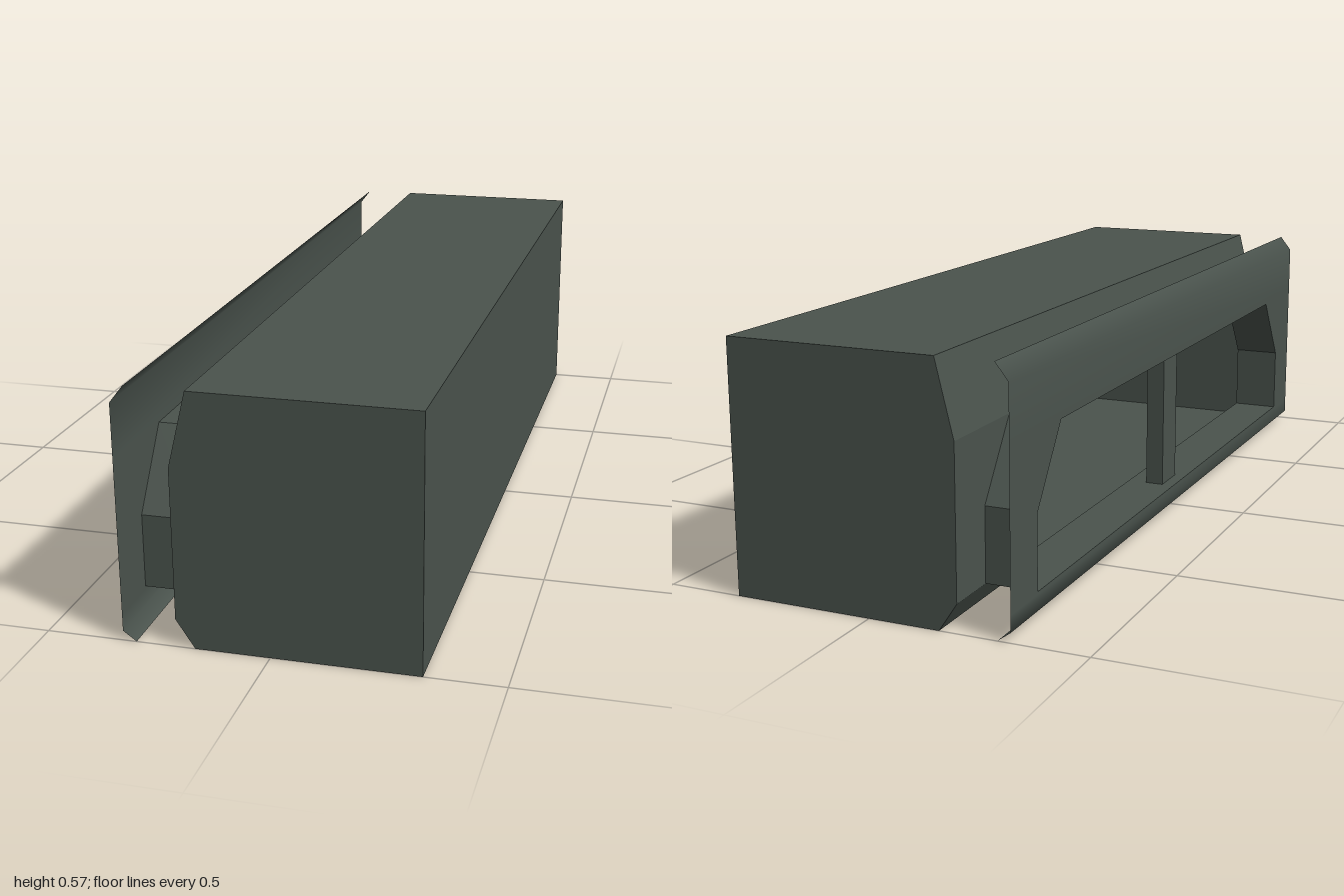
import * as THREE from 'three';

const olive = new THREE.MeshStandardMaterial({ color: 0x4a534d, side: THREE.DoubleSide });
olive.name = 'olive grey';

const BODY_X = -0.207, PANEL_X = -0.327;   // inner face and outer panel planes
const LOW = 0.064, MID = 0.234, HIGH = 0.404;

// Opening outline in (z, y): a box with its top corners cut off
const opening = [[-0.87, LOW], [0.87, LOW], [0.87, MID], [0.75, HIGH], [-0.75, HIGH], [-0.87, MID]];

// Sweep an open profile (counter-clockwise = outward) along z from -half to half
function sweep(profile, half, smooth = false) {
  const pos = [], index = [];
  profile.forEach(([x, y], i) => {
    pos.push(x, y, -half, x, y, half);
    if (i) {
      const p = 2 * (i - 1), q = 2 * i;
      index.push(p, q, q + 1, p, q + 1, p + 1);
    }
  });
  let geo = new THREE.BufferGeometry();
  geo.setAttribute('position', new THREE.Float32BufferAttribute(pos, 3));
  geo.setIndex(index);
  if (!smooth) geo = geo.toNonIndexed();
  geo.computeVertexNormals();
  return geo;
}

const toShape = (pts) => new THREE.Shape(pts.map(([a, b]) => new THREE.Vector2(a, b)));

// Flat wall facing -x with the opening cut through it
function piercedWall(x, bottom, top) {
  const shape = toShape([[-1, bottom], [1, bottom], [1, top], [-1, top]]);
  shape.holes.push(new THREE.Path(opening.map(([a, b]) => new THREE.Vector2(a, b))));
  return new THREE.ShapeGeometry(shape).rotateY(-Math.PI / 2).translate(x, 0, 0);
}

export function createModel() {
  const model = new THREE.Group();
  model.name = 'hollowCasing';
  const add = (name, geo, parent = model) => {
    const mesh = new THREE.Mesh(geo, olive);
    mesh.name = name;
    parent.add(mesh);
    return mesh;
  };

  // Hollow main body, open through its pierced side wall
  const body = new THREE.Group();
  body.name = 'body';
  model.add(body);
  const section = [[BODY_X, LOW], [-0.165, 0], [0.325, 0], [0.325, 0.573], [-0.165, 0.573], [BODY_X, HIGH]];
  add('bodyShell', sweep(section, 1), body);
  add('frontEnd', new THREE.ShapeGeometry(toShape(section)).translate(0, 0, 1), body);
  add('backEnd', new THREE.ShapeGeometry(toShape(section.map(([x, y]) => [-x, y])))
    .rotateY(Math.PI).translate(0, 0, -1), body);
  // The holes reach the wall's top and bottom edges, so only the end pieces remain
  const endPiece = (s) => [[0.87, LOW], [1, LOW], [1, HIGH], [0.75, HIGH], [0.87, MID]].map(([z, y]) => [s * z, y]);
  for (const [side, s] of [['front', 1], ['back', -1]]) {
    add(side + 'SideWall', new THREE.ShapeGeometry(toShape(endPiece(s)))
      .rotateY(-Math.PI / 2).translate(BODY_X, 0, 0), body);
  }

  // Short duct joining the body to the outer panel
  add('duct', sweep([...opening, opening[0]], (BODY_X - PANEL_X) / 2)
    .rotateY(-Math.PI / 2).translate((BODY_X + PANEL_X) / 2, 0, 0));

  // Outer panel: thin sheet with softly bent upper and lower lips
  const panel = new THREE.Group();
  panel.name = 'outerPanel';
  model.add(panel);
  add('upperLip', sweep([[-0.297, 0.573], [PANEL_X, 0.535], [PANEL_X, HIGH + 0.01]], 1, true), panel);
  add('panelFace', piercedWall(PANEL_X, LOW - 0.005, HIGH + 0.01), panel);
  add('lowerLip', sweep([[PANEL_X, LOW - 0.005], [PANEL_X, 0.022], [-0.297, 0]], 1, true), panel);

  // Upright post in the middle of the opening
  add('centrePost', new THREE.BoxGeometry(0.044, HIGH - LOW, 0.095).translate(-0.276, (HIGH + LOW) / 2, 0));

  return model;
}
